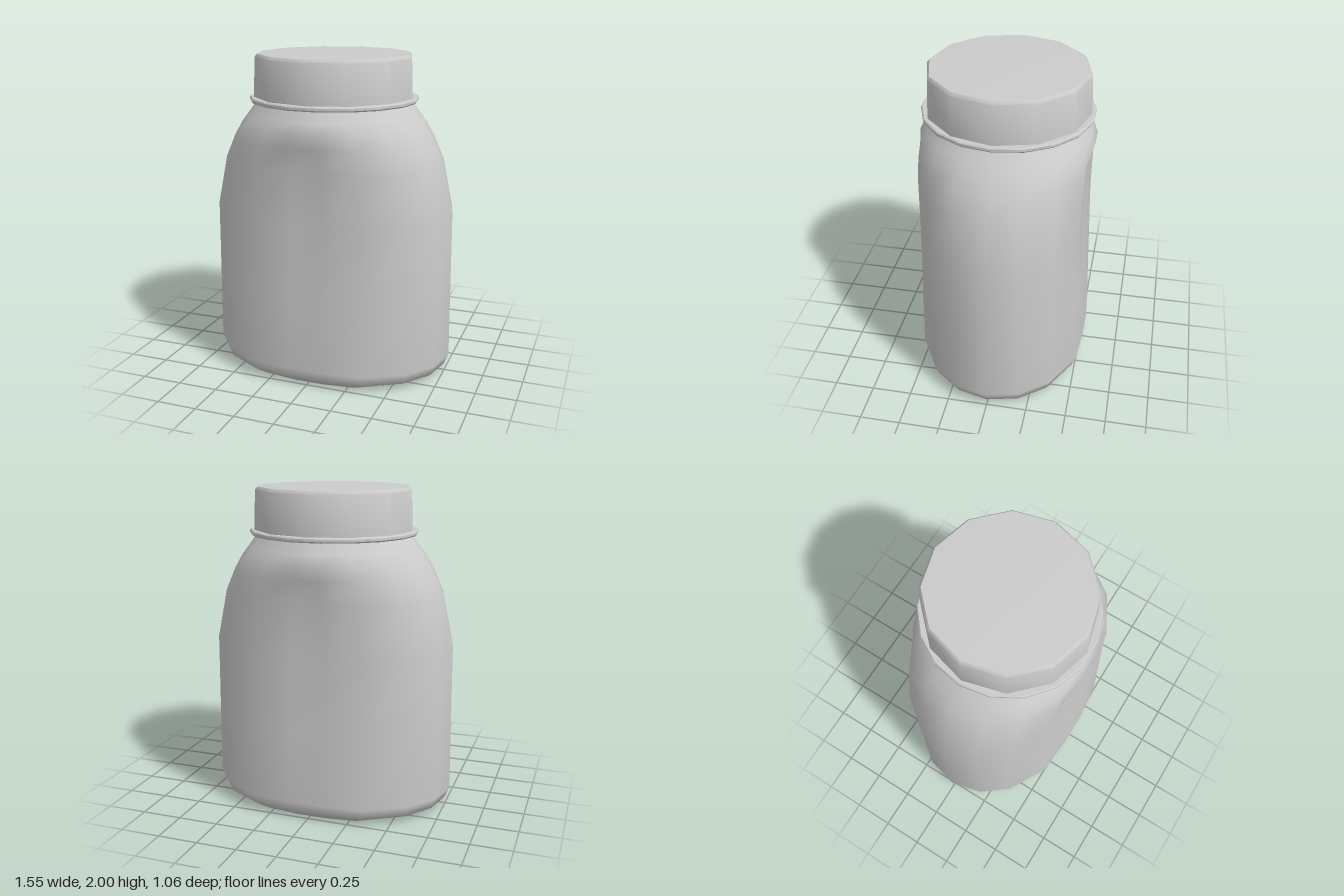
import * as THREE from 'three';
import { toCreasedNormals } from 'three/addons/utils/BufferGeometryUtils.js';

const SIDES = 18;
// Widths of the quarter section's five points, as shares of the half width
const ACROSS = [1, 0.94, 0.77, 0.45, 0.13];

// Body sections: height, half width, depth at each quarter point
const SECTIONS = [
  [0, 0.64, 0, 0.165, 0.31, 0.435, 0.46],
  [0.04, 0.745, 0, 0.19, 0.355, 0.485, 0.51],
  [0.11, 0.775, 0, 0.2, 0.37, 0.51, 0.53],
  [0.55, 0.77, 0, 0.2, 0.37, 0.498, 0.502],
  [1.03, 0.765, 0, 0.2, 0.37, 0.485, 0.472],
  [1.34, 0.695, 0, 0.198, 0.37, 0.492, 0.48],
  [1.48, 0.63, 0, 0.195, 0.365, 0.49, 0.505],
  [1.57, 0.575, 0, 0.19, 0.36, 0.48, 0.53],
  [1.63, 0.53, 0, 0.175, 0.33, 0.445, 0.5],
  [1.71, 0.47, 0, 0.16, 0.3, 0.405, 0.455],
];

// Mirror a quarter section into a full loop
function sectionPoint([y, half, ...depth], k) {
  const back = k > SIDES / 2;
  const m = back ? SIDES - k : k;
  const left = m < 5;
  const q = left ? m : 9 - m;
  return [half * ACROSS[q] * (left ? 1 : -1), y, depth[q] * (back ? -1 : 1)];
}

function bodyGeometry() {
  const points = [];
  const faces = [];
  for (const section of SECTIONS) {
    for (let k = 0; k < SIDES; k++) points.push(...sectionPoint(section, k));
  }
  const centre = points.length / 3;
  points.push(0, 0, 0);
  for (let k = 0; k < SIDES; k++) {
    const n = (k + 1) % SIDES;
    faces.push(centre, k, n); // underside
    for (let r = 0; r < SECTIONS.length - 1; r++) {
      const a = r * SIDES + k, b = r * SIDES + n;
      faces.push(a, a + SIDES, b, b, a + SIDES, b + SIDES);
    }
  }
  const geometry = new THREE.BufferGeometry();
  geometry.setAttribute('position', new THREE.Float32BufferAttribute(points, 3));
  geometry.setIndex(faces);
  geometry.computeVertexNormals();
  return geometry;
}

// Turned part with crisp rims and smooth walls
function turned(profile, sides) {
  const points = profile.map(([r, y]) => new THREE.Vector2(r, y));
  const geometry = new THREE.LatheGeometry(points, sides, Math.PI / 2);
  return toCreasedNormals(geometry, 0.62);
}

export function createModel() {
  const model = new THREE.Group();
  model.name = 'bottle';
  const material = new THREE.MeshStandardMaterial({ color: 0xcccccc, side: THREE.DoubleSide });

  const add = (name, geometry) => {
    const mesh = new THREE.Mesh(geometry, material);
    mesh.name = name;
    model.add(mesh);
  };

  add('body', bodyGeometry());

  // Thin collar below the cap
  add('collar', turned([
    [0.44, 1.7], [0.515, 1.7], [0.522, 1.708], [0.522, 1.722], [0.515, 1.73], [0.44, 1.73],
  ], SIDES));

  // Twelve-sided cap with a bevelled rim and a barely domed top
  add('cap', turned([
    [0.497, 1.72], [0.487, 1.97], [0.473, 1.988], [0, 2],
  ], 12));

  return model;
}
